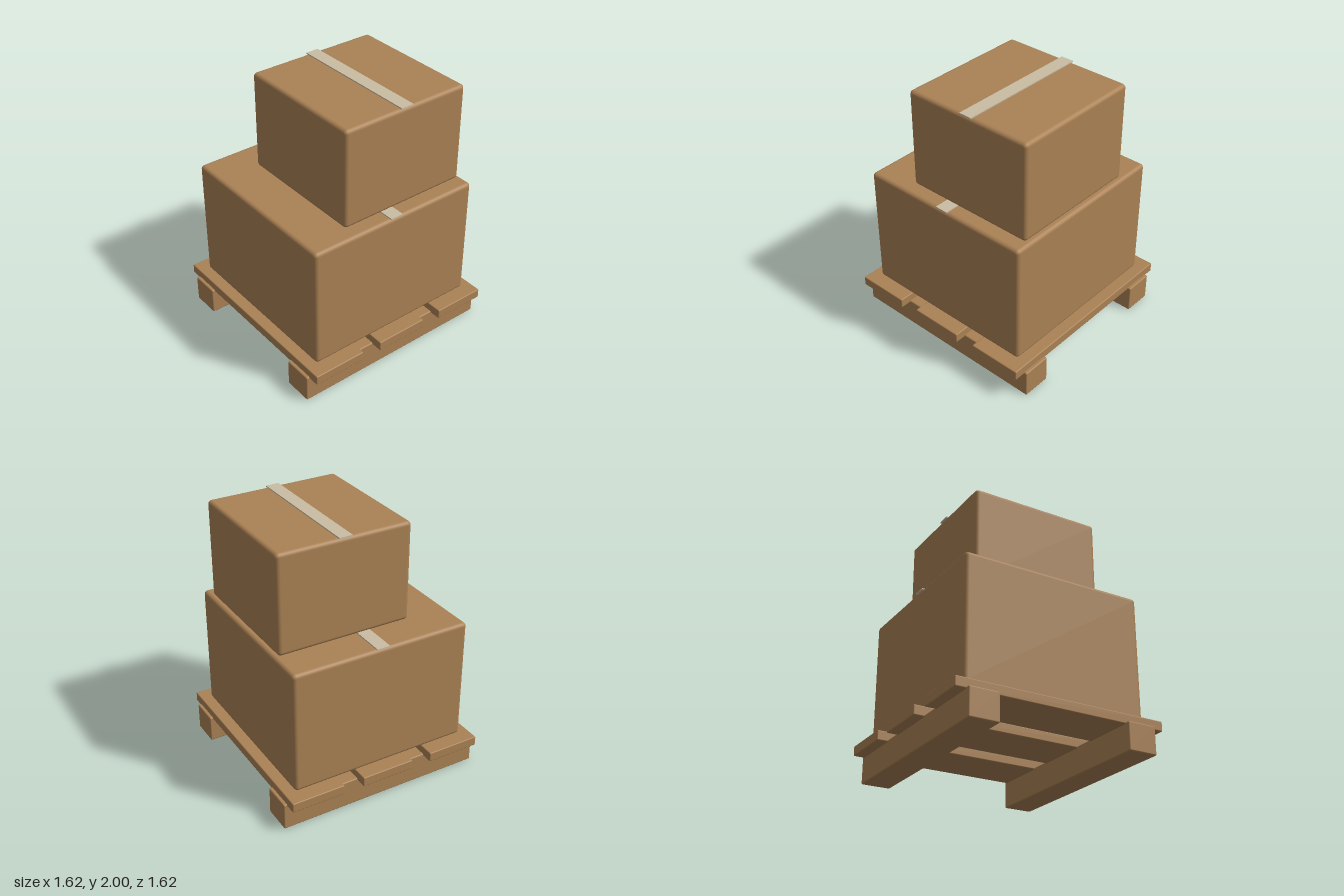
import * as THREE from 'three';
import { RoundedBoxGeometry } from 'three/addons/geometries/RoundedBoxGeometry.js';

export function createModel() {
  const model = new THREE.Group();
  model.name = 'loadedPallet';

  const cardboard = new THREE.MeshStandardMaterial({ color: 0xaa8154 });
  cardboard.name = 'brown cardboard and wood';
  const tapeColor = new THREE.MeshStandardMaterial({ color: 0xcabda3 });
  tapeColor.name = 'pale tape';

  // Adds a box given its extents; a radius rounds its edges
  function block(name, parent, [x0, x1], [y0, y1], [z0, z1], radius, material = cardboard) {
    const size = [x1 - x0, y1 - y0, z1 - z0];
    const geometry = radius
      ? new RoundedBoxGeometry(...size, 3, radius)
      : new THREE.BoxGeometry(...size);
    const mesh = new THREE.Mesh(geometry, material);
    mesh.name = name;
    mesh.position.set((x0 + x1) / 2, (y0 + y1) / 2, (z0 + z1) / 2);
    parent.add(mesh);
  }

  // Pallet: two runners across, three deck planks front to back
  const pallet = new THREE.Group();
  pallet.name = 'pallet';
  model.add(pallet);
  for (const [side, z] of [['front', 0.613], ['back', -0.613]]) {
    block(side + 'Runner', pallet, [-0.81, 0.81], [0, 0.211], [z - 0.113, z + 0.113], 0.01);
  }
  for (const [side, x] of [['right', -0.575], ['middle', 0], ['left', 0.575]]) {
    block(side + 'Plank', pallet, [x - 0.209, x + 0.209], [0.195, 0.27], [-0.811, 0.811], 0.008);
  }

  // Carton with a strip of tape along its top
  function carton(name, xs, ys, zs, tapeX) {
    const group = new THREE.Group();
    group.name = name;
    model.add(group);
    block(name + 'Body', group, xs, ys, zs, 0.03);
    block(name + 'Tape', group, [tapeX - 0.051, tapeX + 0.051],
      [ys[1] - 0.001, ys[1] + 0.0085], zs, 0, tapeColor);
  }
  carton('lowerCarton', [-0.706, 0.706], [0.27, 1.2275], [-0.706, 0.706], 0);
  carton('upperCarton', [-0.373, 0.675], [1.2275, 1.9915], [-0.449, 0.6], 0.151);

  return model;
}
